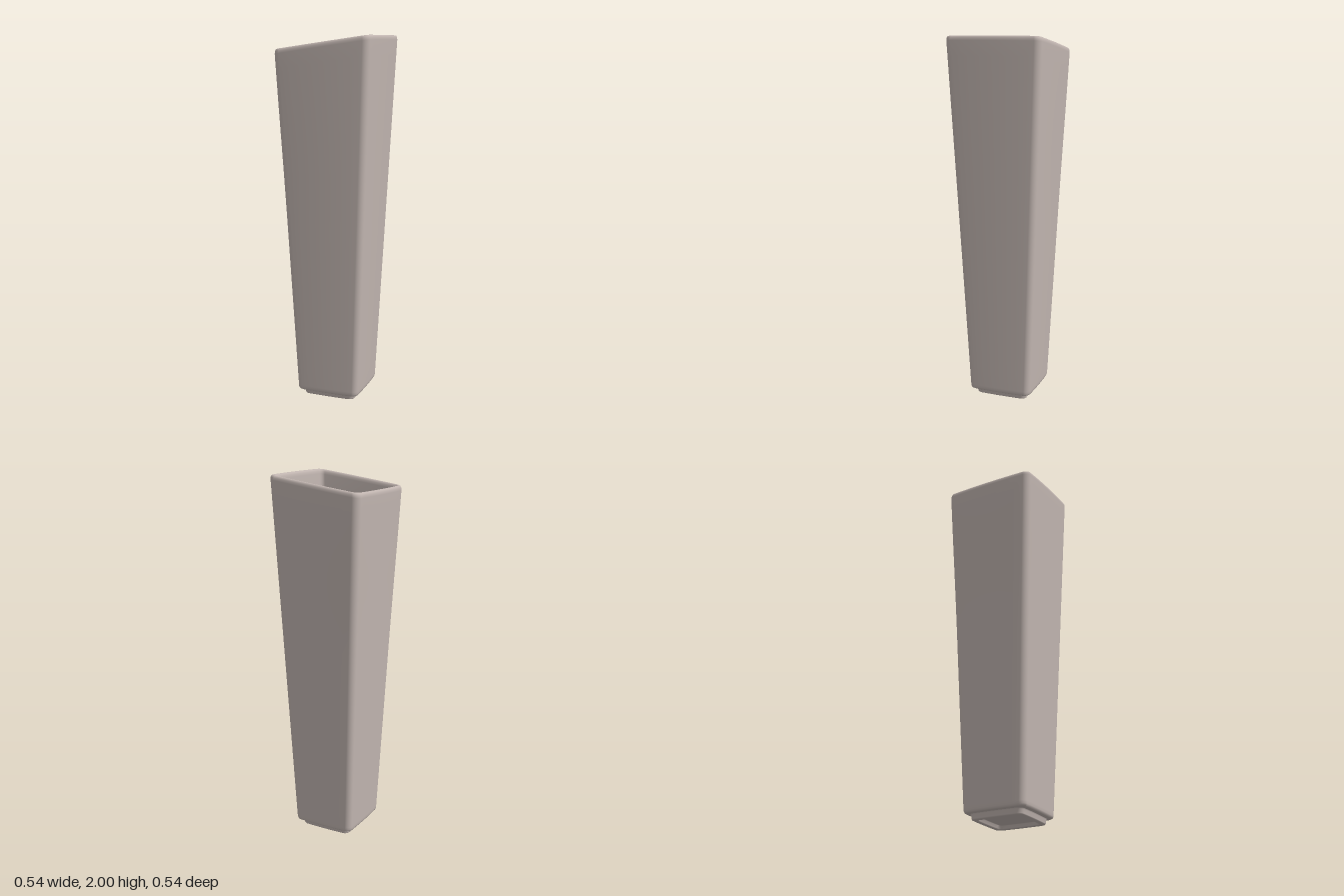
import * as THREE from 'three';

const ARC = 6, SIDE = 8; // steps per corner and per side

// Rounded square with slightly bowed sides, as [x, z] points
function section(half, radius) {
  const r = Math.min(radius, half * 0.5), c = half - r, pts = [];
  for (let k = 0; k < 4; k++) {
    const a0 = k * Math.PI / 2, cos = Math.cos(a0), sin = Math.sin(a0);
    const local = [];
    for (let i = 0; i < SIDE; i++) local.push([half, -c + 2 * c * i / SIDE]);
    for (let i = 0; i < ARC; i++) {
      const a = i / ARC * Math.PI / 2;
      local.push([c + r * Math.cos(a), c + r * Math.sin(a)]);
    }
    for (const [x, z] of local) {
      const bx = x * (1 - 0.028 * (z / half) ** 2), bz = z * (1 - 0.028 * (x / half) ** 2);
      pts.push([bx * cos - bz * sin, bx * sin + bz * cos]);
    }
  }
  return pts;
}

// Lofts [half width, y, corner radius] rings, slanting the top down toward -x
function loft(profile) {
  const pos = [], index = [], n = 4 * (SIDE + ARC);
  profile.forEach(([half, y, radius], i) => {
    const slant = 0.14 * THREE.MathUtils.smoothstep(y, 1.0, 1.97);
    for (const [x, z] of section(half, radius)) pos.push(x, y - slant * (0.265 - x), z);
    if (i === 0) return;
    for (let j = 0; j < n; j++) {
      const a = (i - 1) * n + j, b = (i - 1) * n + (j + 1) % n;
      index.push(a, a + n, b, b, a + n, b + n);
    }
  });
  const geo = new THREE.BufferGeometry();
  geo.setAttribute('position', new THREE.Float32BufferAttribute(pos, 3));
  geo.setIndex(index);
  geo.computeVertexNormals();
  return geo;
}

// Straight wall between two heights
function wall(y0, h0, r0, y1, h1, r1, steps) {
  return Array.from({ length: steps + 1 }, (_, i) => {
    const t = i / steps, mix = THREE.MathUtils.lerp;
    return [mix(h0, h1, t), mix(y0, y1, t), mix(r0, r1, t)];
  });
}

export function createModel() {
  const group = new THREE.Group();
  const ceramic = new THREE.MeshStandardMaterial({ color: 0xc2b6b1 });
  ceramic.name = 'warm grey ceramic';
  const add = (name, profile) => {
    const mesh = new THREE.Mesh(loft(profile), ceramic);
    mesh.name = name;
    group.add(mesh);
  };

  // Foot ring with a recessed underside
  add('foot', [
    [0.001, 0.02, 0.02], [0.112, 0.02, 0.02], [0.117, 0.018, 0.02], [0.12, 0.004, 0.02],
    [0.124, 0, 0.02], [0.143, 0, 0.025], [0.147, 0.002, 0.025], [0.149, 0.006, 0.025],
    [0.151, 0.026, 0.025], [0.154, 0.031, 0.025],
  ]);

  // Tapered outer wall, rounded rim, inner wall and floor
  add('vase body', [
    [0.15, 0.031, 0.025], [0.172, 0.032, 0.028], [0.178, 0.036, 0.03], [0.181, 0.045, 0.03],
    ...wall(0.06, 0.182, 0.03, 1.975, 0.268, 0.034, 24),
    [0.267, 1.988, 0.034], [0.263, 1.997, 0.032], [0.256, 2, 0.03],
    [0.249, 1.997, 0.026], [0.245, 1.988, 0.024],
    ...wall(1.975, 0.243, 0.022, 0.09, 0.163, 0.022, 24),
    [0.161, 0.075, 0.022], [0.156, 0.066, 0.022], [0.148, 0.062, 0.022], [0.001, 0.06, 0.02],
  ]);
  return group;
}
